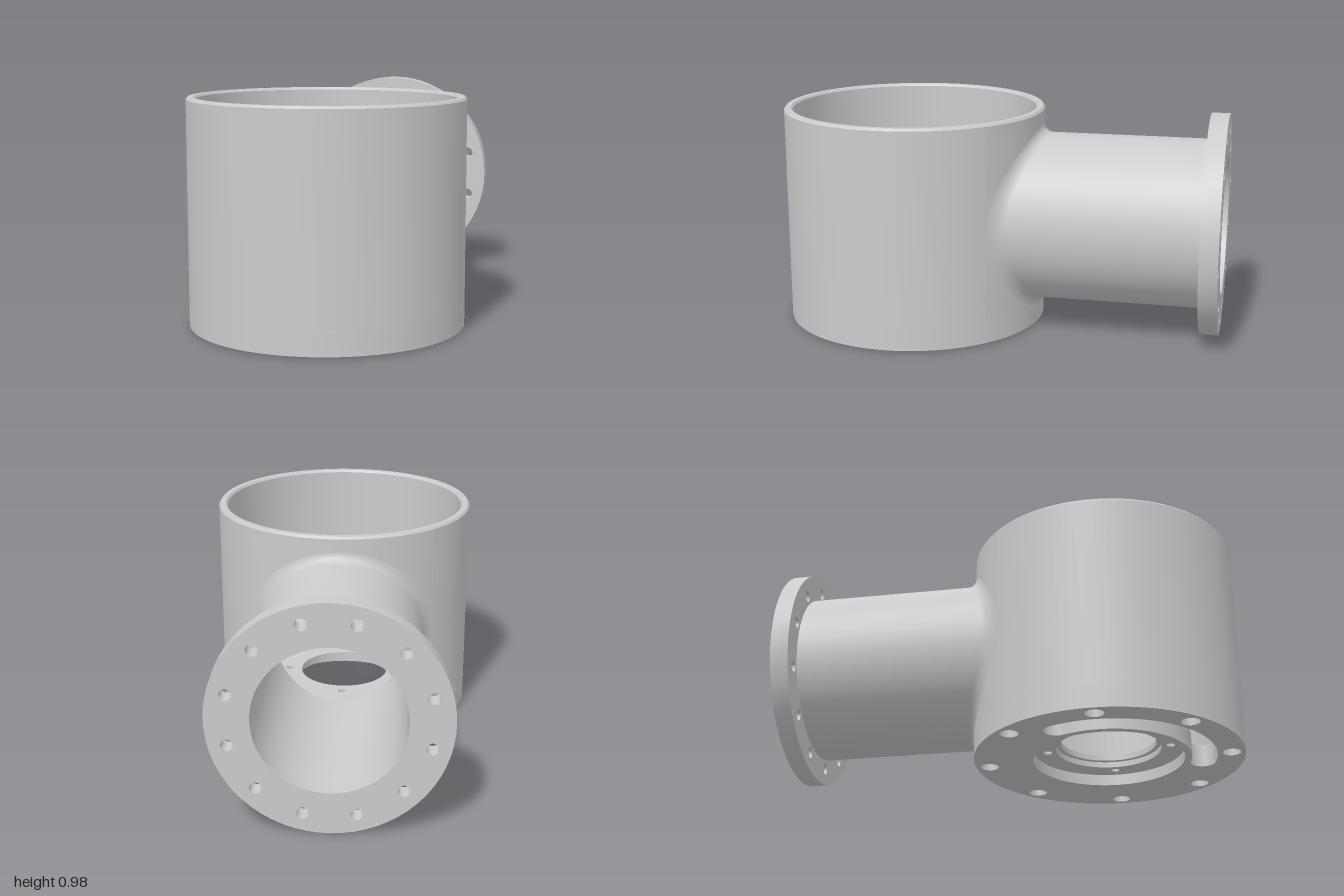
import * as THREE from 'three';
import { toCreasedNormals } from 'three/addons/utils/BufferGeometryUtils.js';

const material = new THREE.MeshStandardMaterial({ color: 0xcccccc, side: THREE.DoubleSide });
const DRUM_Z = 0.41, R_OUT = 0.59, R_IN = 0.55;
const PIPE_Y = 0.495, R_PIPE = 0.375, R_BORE = 0.31;
const WALL_BOTTOM = 0.11, WALL_TOP = 0.97, FLOOR_TOP = 0.615, FLOOR_THICK = 0.04;
const PATCH = 0.78; // half angle of the wall section that meets the pipe

function part(name, geometry) {
  const mesh = new THREE.Mesh(toCreasedNormals(geometry, 0.6), material);
  mesh.name = name;
  return mesh;
}

// Surface from a grid of points: point(angle, row) closes around the angle.
function loft(rows, point, n = 64) {
  const pos = [], index = [];
  for (let j = 0; j <= rows; j++) {
    for (let i = 0; i < n; i++) pos.push(...point((i / n) * Math.PI * 2, j));
  }
  for (let j = 0; j < rows; j++) {
    for (let i = 0; i < n; i++) {
      const k = (i + 1) % n, a = j * n + i, b = j * n + k;
      index.push(a, b, a + n, b, b + n, a + n);
    }
  }
  const g = new THREE.BufferGeometry();
  g.setAttribute('position', new THREE.Float32BufferAttribute(pos, 3));
  g.setIndex(index);
  return g;
}

function circle(r, x = 0, y = 0) {
  return new THREE.Path().absarc(x, y, r, 0, Math.PI * 2, true);
}

function boltCircle(count, ring, r, offset = 0) {
  return Array.from({ length: count }, (_, i) => {
    const a = offset + (i / count) * Math.PI * 2;
    return circle(r, ring * Math.cos(a), ring * Math.sin(a));
  });
}

// Round plate with holes, extruded along z.
function disc(radius, thickness, holes) {
  const shape = new THREE.Shape().absarc(0, 0, radius, 0, Math.PI * 2, false);
  shape.holes.push(...holes);
  return new THREE.ExtrudeGeometry(shape, { depth: thickness, bevelEnabled: false, curveSegments: 32 });
}

function layDisc(name, radius, y, thickness, holes) {
  const mesh = part(name, disc(radius, thickness, holes).rotateX(-Math.PI / 2));
  mesh.position.set(0, y, DRUM_Z);
  return mesh;
}

// Curved slot with rounded ends.
function arcSlot(r0, r1, a0, a1) {
  const mid = (r0 + r1) / 2, half = (r1 - r0) / 2;
  return new THREE.Path()
    .absarc(0, 0, r1, a0, a1, false)
    .absarc(mid * Math.cos(a1), mid * Math.sin(a1), half, a1, a1 + Math.PI, false)
    .absarc(0, 0, r0, a1, a0, true)
    .absarc(mid * Math.cos(a0), mid * Math.sin(a0), half, a0 + Math.PI, a0 + Math.PI * 2, false);
}

const drumBackZ = (x, r = R_OUT) => DRUM_Z - Math.sqrt(r * r - x * x);

// Outline of the wall opening, cut off below the inner floor.
function openingPoint(t, r) {
  const x = R_BORE * Math.cos(t);
  const y = Math.min(PIPE_Y + R_BORE * Math.sin(t), FLOOR_TOP - FLOOR_THICK);
  return [x, y, drumBackZ(x, r)];
}

// Section of cylindrical wall running from the opening to a rectangular border.
function wallPatch(r) {
  const rows = 5;
  return loft(rows, (t, j) => {
    const c = Math.cos(t), s = Math.sin(t), m = Math.max(Math.abs(c), Math.abs(s));
    const [x, y] = openingPoint(t, r);
    const edgeY = PIPE_Y + (s / m) * (s > 0 ? WALL_TOP - PIPE_Y : PIPE_Y - WALL_BOTTOM);
    const phi = THREE.MathUtils.lerp(Math.asin(x / r), (PATCH * c) / m, j / rows);
    return [r * Math.sin(phi), THREE.MathUtils.lerp(y, edgeY, j / rows), DRUM_Z - r * Math.cos(phi)];
  });
}

function buildDrum() {
  const drum = new THREE.Group();
  drum.name = 'drum';
  // Wall: open cylinder plus the patch around the pipe opening
  for (const [name, r] of [['outerWall', R_OUT], ['innerWall', R_IN]]) {
    const profile = [new THREE.Vector2(r, WALL_BOTTOM), new THREE.Vector2(r, WALL_TOP)];
    const wall = part(name, new THREE.LatheGeometry(profile, 56, Math.PI + PATCH, 2 * (Math.PI - PATCH)));
    wall.position.z = DRUM_Z;
    drum.add(wall, part(name + 'PipeSection', wallPatch(r)));
  }
  drum.add(part('openingEdge', loft(1, (t, j) => openingPoint(t, j ? R_IN : R_OUT))));

  // Bevelled top rim
  const rimProfile = [[R_OUT, WALL_TOP], [0.582, 0.98], [0.558, 0.98], [R_IN, WALL_TOP]];
  const rim = part('rim', new THREE.LatheGeometry(rimProfile.map(p => new THREE.Vector2(...p)), 64));
  rim.position.z = DRUM_Z;
  drum.add(rim);

  // Inner floor ring with bolt holes
  drum.add(layDisc('innerFloor', R_IN + 0.005, FLOOR_TOP - FLOOR_THICK, FLOOR_THICK,
    [circle(0.42), ...boltCircle(12, 0.455, 0.016)]));

  // Stepped base plate: blind holes below, small through holes above
  const slot = () => arcSlot(0.36, 0.47, -3.58, -1.33);
  const small = () => boltCircle(4, 0.27, 0.019);
  drum.add(
    layDisc('baseLower', R_OUT, 0.01, 0.05, [circle(0.33), slot(), ...boltCircle(8, 0.53, 0.04)]),
    layDisc('baseMiddle', R_OUT, 0.06, 0.025, [circle(0.23), slot(), ...small()]),
    layDisc('baseUpper', R_OUT, 0.085, 0.025, [circle(0.21), slot(), ...small()]),
  );
  return drum;
}

function buildPipe() {
  const pipe = new THREE.Group();
  pipe.name = 'sidePipe';
  const flangeFront = -0.92, fillet = 0.04, steps = 6;
  // Outer tube flaring into the drum with a fillet
  pipe.add(part('pipeOuter', loft(steps + 1, (t, j) => {
    const a = (Math.max(j - 1, 0) / steps) * Math.PI / 2;
    const r = R_PIPE + fillet * (1 - Math.cos(a));
    const x = r * Math.cos(t);
    const z = j === 0 ? flangeFront : drumBackZ(x) - fillet * (1 - Math.sin(a));
    return [x, PIPE_Y + r * Math.sin(t), z];
  })));
  // Bore
  pipe.add(part('pipeBore', loft(1, (t, j) => {
    const x = R_BORE * Math.cos(t);
    return [x, PIPE_Y + R_BORE * Math.sin(t), j ? drumBackZ(x) : flangeFront];
  })));
  // Bolted flange
  const flange = part('flange', disc(0.49, 0.08,
    [circle(R_BORE), ...boltCircle(12, 0.415, 0.025, Math.PI / 12)]));
  flange.position.set(0, PIPE_Y, -1);
  pipe.add(flange);
  return pipe;
}

export function createModel() {
  const model = new THREE.Group();
  model.name = 'drumHousing';
  model.add(buildDrum(), buildPipe());
  return model;
}
